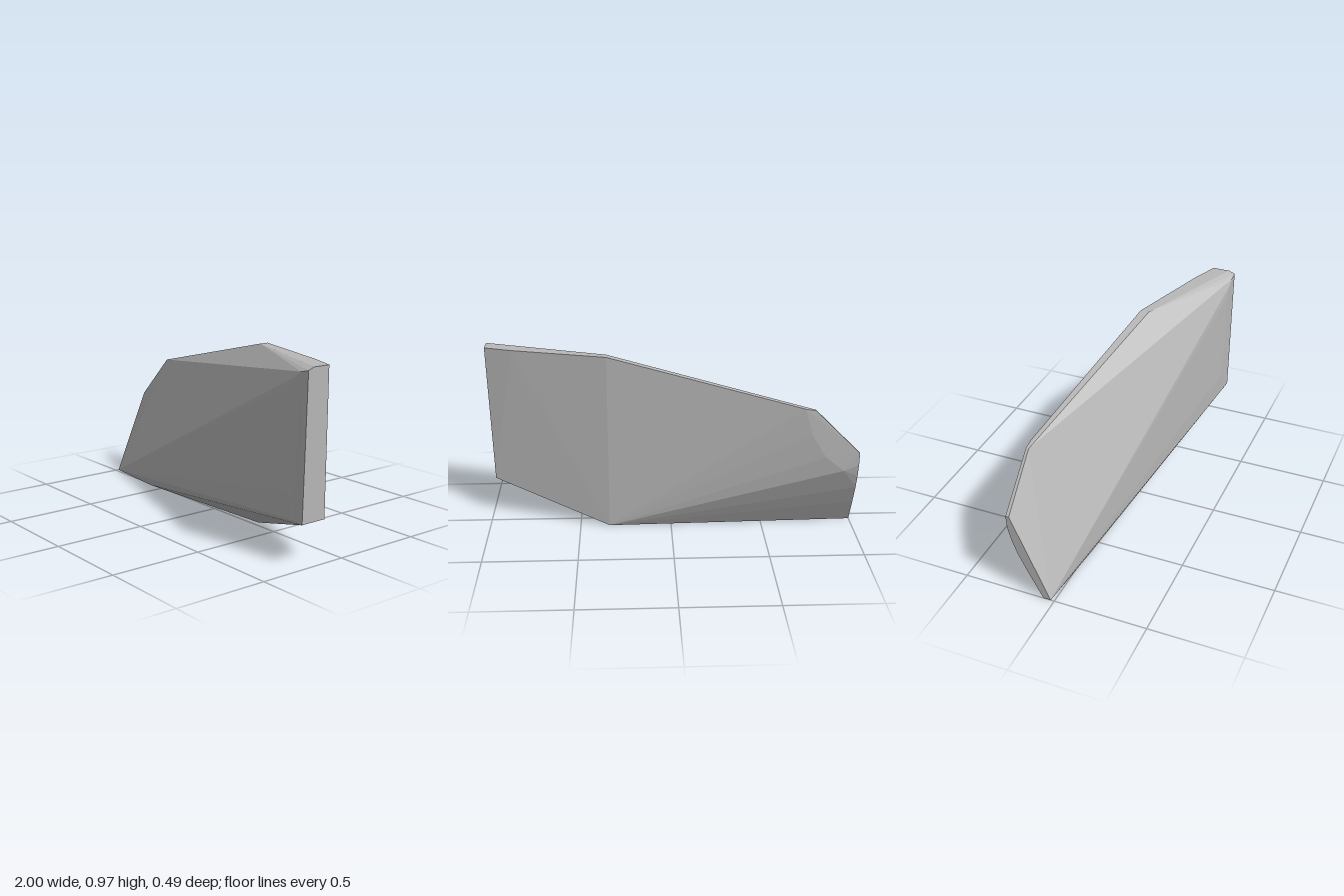
import * as THREE from 'three';
import { ConvexGeometry } from 'three/addons/geometries/ConvexGeometry.js';

// A single faceted convex shard: its corners, grouped by region.
const corners = [
  // left-hand end (x = -1), from the bottom round the back to the top
  [-1, 0, -0.02], [-1, 0, -0.06], [-1, 0.14, -0.135], [-1, 0.25, -0.19],
  [-1, 0.33, -0.22], [-1, 0.4, -0.238], [-1, 0.47, -0.243], [-1, 0.47, -0.225],
  // flat patch on the back
  [-0.92, 0.37, -0.243], [-0.82, 0.45, -0.245], [-0.74, 0.58, -0.245], [-0.7, 0.725, -0.245],
  // top edge
  [-0.755, 0.715, -0.228], [-0.755, 0.715, -0.243],
  [0.34, 0.97, -0.035], [0.34, 0.97, -0.083], [0.85, 0.97, 0.06],
  // right-hand end
  [1, 0.97, 0.115], [1, 0.97, 0.21], [1, 0.957, 0.245],
  [0.977, 0.213, 0.245], [0.977, 0.213, 0.1],
  // rounded border of the front patch
  [0.95, 0.945, 0.245], [0.91, 0.915, 0.244], [0.88, 0.86, 0.243],
  [0.86, 0.35, 0.243], [0.91, 0.22, 0.244],
  // underside
  [-0.6, 0, 0.015], [0.34, 0, -0.035], [0.34, 0, -0.095],
];

export function createModel() {
  const group = new THREE.Group();
  group.name = 'facetedShard';

  const stone = new THREE.MeshStandardMaterial({ color: 0xb8b8b8 });
  stone.name = 'pale grey';

  const shard = new THREE.Mesh(
    new ConvexGeometry(corners.map((p) => new THREE.Vector3(...p))),
    stone,
  );
  shard.name = 'shardBody';
  group.add(shard);
  return group;
}
